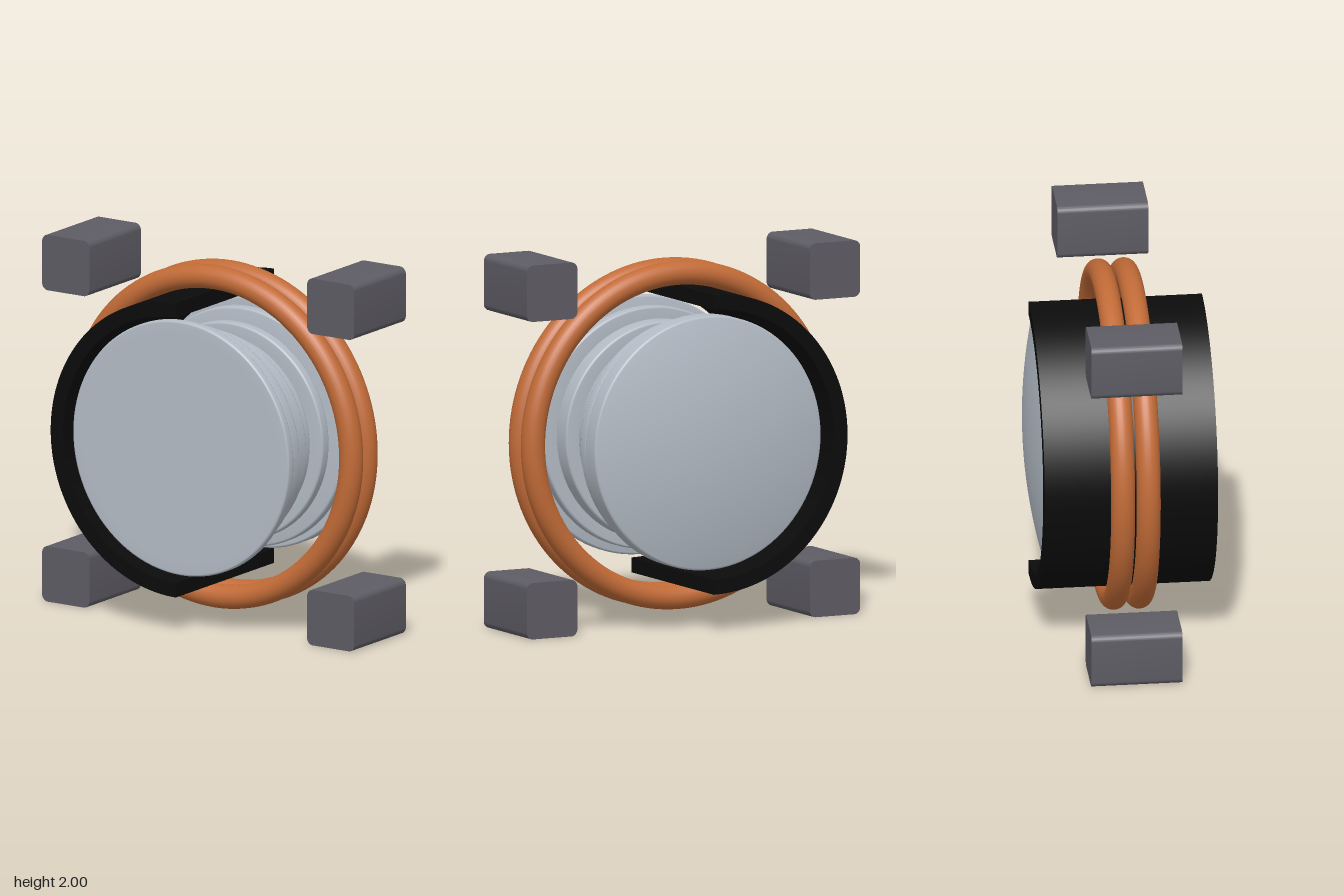
import * as THREE from 'three';
import { toCreasedNormals } from 'three/addons/utils/BufferGeometryUtils.js';

const CENTER_Y = 1.003;

export function createModel() {
  const model = new THREE.Group();
  model.name = 'lensAssembly';

  const mat = (name, color) => {
    const m = new THREE.MeshStandardMaterial({ color });
    m.name = name;
    return m;
  };
  const glass = mat('paleGlass', 0xb4bcc6);
  const copper = mat('copper', 0xc26b37);
  const black = mat('barrelBlack', 0x0b0b0b);
  const grey = mat('magnetGrey', 0x5e5c64);

  const add = (name, geometry, material, x = 0, y = CENTER_Y, z = 0) => {
    const mesh = new THREE.Mesh(geometry, material);
    mesh.name = name;
    mesh.position.set(x, y, z);
    model.add(mesh);
    return mesh;
  };

  // Lens element: a turned disc with softened rims and optional domed faces
  const lens = (name, r, back, front, domeBack = 0, domeFront = 0) => {
    const bevel = 0.012, inner = r - bevel, steps = 12;
    const pts = [];
    for (let i = 0; i <= steps; i++) {
      const t = i / steps;
      pts.push(new THREE.Vector2(inner * t, back - domeBack * (1 - t * t)));
    }
    pts.push(new THREE.Vector2(r - bevel * 0.3, back + bevel * 0.3));
    pts.push(new THREE.Vector2(r, back + bevel));
    pts.push(new THREE.Vector2(r, front - bevel));
    pts.push(new THREE.Vector2(r - bevel * 0.3, front - bevel * 0.3));
    for (let i = steps; i >= 0; i--) {
      const t = i / steps;
      pts.push(new THREE.Vector2(inner * t, front + domeFront * (1 - t * t)));
    }
    add(name, new THREE.LatheGeometry(pts, 96).rotateX(Math.PI / 2), glass);
  };
  lens('frontLens', 0.693, 0.37, 0.424, 0.05, 0);
  lens('secondLens', 0.648, 0.25, 0.322, 0, 0.04);
  lens('thirdLens', 0.59, 0.1, 0.215);
  lens('middleLens', 0.54, -0.005, 0.06);
  lens('fifthLens', 0.59, -0.11, -0.045, 0.065, 0);
  lens('sixthLens', 0.648, -0.23, -0.163, 0, 0.032);
  lens('rearLens', 0.68, -0.39, -0.278, 0.085, 0);

  // Half barrel, cut open on the +x side
  const half = new THREE.Shape();
  half.absarc(0, 0, 0.802, Math.PI / 2, Math.PI * 1.5, false);
  half.absarc(0, 0, 0.722, Math.PI * 1.5, Math.PI / 2, true);
  half.closePath();
  const barrel = new THREE.ExtrudeGeometry(half, { depth: 0.922, bevelEnabled: false, curveSegments: 64 });
  add('halfBarrel', toCreasedNormals(barrel, 0.5), black, 0, CENTER_Y, -0.454);

  // Twin coil rings
  for (const [name, z] of [['frontCoil', 0.092], ['rearCoil', -0.044]]) {
    add(name, new THREE.TorusGeometry(0.867, 0.064, 24, 128), copper, 0, CENTER_Y, z);
  }

  // Four corner magnets, rounded along their long edges
  const s = 0.151, c = 0.036;
  const square = new THREE.Shape();
  square.absarc(s - c, s - c, c, 0, Math.PI / 2);
  square.absarc(-s + c, s - c, c, Math.PI / 2, Math.PI);
  square.absarc(-s + c, -s + c, c, Math.PI, Math.PI * 1.5);
  square.absarc(s - c, -s + c, c, Math.PI * 1.5, Math.PI * 2);
  square.closePath();
  const magnet = toCreasedNormals(
    new THREE.ExtrudeGeometry(square, { depth: 0.484, bevelEnabled: false, curveSegments: 8 }), 0.6);
  for (const [side, x] of [['left', 1], ['right', -1]]) {
    for (const [level, y] of [['Upper', 2 - s], ['Lower', s]]) {
      add(`${side}${level}Magnet`, magnet, grey, x * (1 - s), y, -0.226);
    }
  }
  return model;
}
